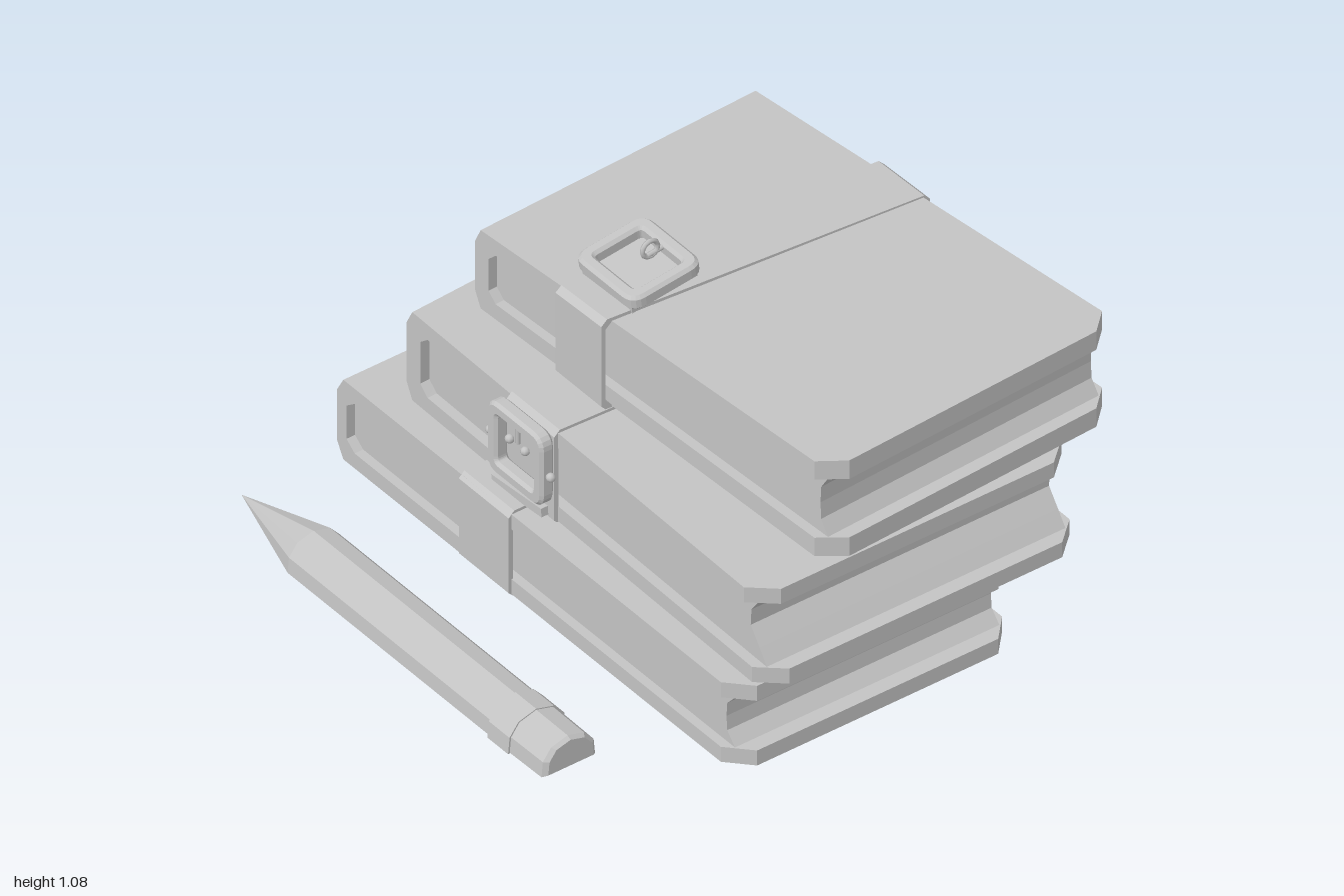
import * as THREE from 'three';

const grey = new THREE.MeshStandardMaterial({ color: 0xc4c4c4 });
grey.name = 'grey';

function shapeOf(points) {
  return new THREE.Shape(points.map(([a, b]) => new THREE.Vector2(a, b)));
}

function add(group, name, geometry) {
  const mesh = new THREE.Mesh(geometry, grey);
  mesh.name = name;
  group.add(mesh);
  return mesh;
}

function extrude(shape, depth, options = {}) {
  return new THREE.ExtrudeGeometry(shape, { depth, bevelEnabled: false, curveSegments: 5, ...options });
}

// Moves every vertex by a rule and refreshes the facet normals
function deform(geometry, rule) {
  const p = geometry.attributes.position;
  const v = new THREE.Vector3();
  for (let i = 0; i < p.count; i++) {
    rule(v.fromBufferAttribute(p, i));
    p.setXYZ(i, v.x, v.y, v.z);
  }
  geometry.computeVertexNormals();
  return geometry;
}

// Book: corners are [x, z] for back left, back right, front left, front right
function makeBook(name, { corners, y0, y1, lift = 0, cover = 0.055, spine = 0.05, foot = 0 }) {
  const group = new THREE.Group();
  group.name = name;
  const [bl, br, fl, fr] = corners;
  const mix = THREE.MathUtils.lerp;
  const place = (v) => {
    const u = v.x, s = v.z, h = (v.y - y0) / (y1 - y0);
    v.x = mix(mix(bl[0], br[0], u), mix(fl[0], fr[0], u), s);
    v.z = mix(mix(bl[1], br[1], u), mix(fl[1], fr[1], u), s);
    v.y += lift * u * h;
    if (u > 0.9 && h > 0.5) v.x -= foot;
  };
  const e = 0.028, a = y0 + cover, b = y1 - cover, m = (y0 + y1) / 2;

  // Case wraps the spine side, with clipped corners at the fore edge
  const caseShape = shapeOf([
    [1, y0], [1, a], [spine + 0.02, a], [spine, a + 0.03], [spine, b - 0.03], [spine + 0.02, b],
    [1, b], [1, y1], [e, y1], [0, y1 - 0.055], [0, y0 + 0.055], [e, y0],
  ].reverse());
  add(group, 'cover', deform(extrude(caseShape, 1, { steps: 14 }), (v) => {
    if (v.z < 0.01 || v.z > 0.99) {
      if (v.x > 0.99) v.x -= 0.04;
      if (v.x < 0.01) v.x += 0.012;
    }
    place(v);
  }));

  // Page block with a hollow fore edge
  const pageShape = shapeOf([
    [spine + 0.02, a], [0.974, a], [0.955, mix(a, m, 0.45)], [0.953, m], [0.955, mix(b, m, 0.45)],
    [0.974, b], [spine + 0.02, b], [spine, b - 0.03], [spine, a + 0.03],
  ]);
  add(group, 'pages', deform(extrude(pageShape, 1), (v) => {
    v.z = 0.03 + v.z * 0.94;
    place(v);
  }));
  return group;
}

// Band running round a book: a ring in z and y, extruded along x and skewed
function makeStrap(name, { x, width, z0, z1, y0, y1, slope = 0, tilt = 0, thick = 0.015 }) {
  const ring = (i) => {
    const c = 0.02;
    return [
      [-z1 + i, y0 + i + c], [-z1 + i + c, y0 + i], [-z0 - i - c, y0 + i], [-z0 - i, y0 + i + c],
      [-z0 - i, y1 - i - c], [-z0 - i - c, y1 - i], [-z1 + i + c, y1 - i], [-z1 + i, y1 - i - c],
    ];
  };
  const shape = shapeOf(ring(0));
  shape.holes.push(shapeOf(ring(thick)));
  const geometry = extrude(shape, width).rotateY(Math.PI / 2).translate(x - width / 2, 0, 0);
  const group = new THREE.Group();
  group.name = name;
  add(group, 'band', deform(geometry, (v) => {
    if (v.y > (y0 + y1) / 2) v.y += tilt * (v.x - x);
    v.x += slope * v.z;
  }));
  return group;
}

function roundedRect(target, w, h, r) {
  const x = w / 2, y = h / 2;
  target.moveTo(-x + r, -y);
  target.lineTo(x - r, -y).quadraticCurveTo(x, -y, x, -y + r);
  target.lineTo(x, y - r).quadraticCurveTo(x, y, x - r, y);
  target.lineTo(-x + r, y).quadraticCurveTo(-x, y, -x, y - r);
  target.lineTo(-x, -y + r).quadraticCurveTo(-x, -y, -x + r, -y);
  return target;
}

// Buckle faces local +z
function makeBuckle(name, w, h) {
  const group = new THREE.Group();
  group.name = name;
  const frame = roundedRect(new THREE.Shape(), w - 0.02, h - 0.02, 0.04);
  frame.holes.push(roundedRect(new THREE.Path(), w - 0.07, h - 0.07, 0.025));
  add(group, 'frame', extrude(frame, 0.03, {
    bevelEnabled: true, bevelSize: 0.01, bevelThickness: 0.01, bevelSegments: 1,
  }).translate(0, 0, 0.01));
  const prong = add(group, 'prong', new THREE.CylinderGeometry(0.008, 0.008, h * 0.28, 6));
  prong.position.set(0, h * 0.26, 0.035);
  return group;
}

// Pencil profile across its length, as [-z, y]
const pencilProfile = [
  [-0.93, 0.012], [-0.735, 0.012], [-0.74, 0.065], [-0.775, 0.105],
  [-0.835, 0.122], [-0.895, 0.105], [-0.925, 0.065],
];

function pencilPart(x0, x1, size0, size1, tipY = 0.06) {
  const geometry = extrude(shapeOf(pencilProfile), 1).rotateY(Math.PI / 2);
  return deform(geometry, (v) => {
    const size = v.x < 0.5 ? size0 : size1;
    const cy = v.x < 0.5 ? tipY : 0.06;
    v.set(v.x < 0.5 ? x0 : x1, cy + (v.y - 0.06) * size, 0.83 + (v.z - 0.83) * size);
  });
}

export function createModel() {
  const model = new THREE.Group();
  model.name = 'bookStack';

  // Books
  model.add(
    makeBook('bottomBook', {
      corners: [[-1, -0.55], [0.94, -0.55], [-1, 0.48], [0.94, 0.475]], y0: 0.018, y1: 0.31, spine: 0.036,
    }),
    makeBook('middleBook', {
      corners: [[-0.865, -0.765], [0.99, -0.755], [-0.795, 0.38], [0.99, 0.405]],
      y0: 0.312, y1: 0.635, foot: 0.04,
    }),
    makeBook('topBook', {
      corners: [[-0.715, -0.81], [0.9, -0.94], [-0.67, 0.225], [0.965, 0.16]],
      y0: 0.65, y1: 0.935, lift: 0.065,
    }),
  );

  // Straps
  model.add(
    makeStrap('bottomStrap', { x: -0.26, width: 0.24, z0: -0.555, z1: 0.488, y0: 0.006, y1: 0.32 }),
    makeStrap('middleStrap', { x: -0.13, width: 0.23, z0: -0.775, z1: 0.405, y0: 0.3, y1: 0.645, slope: -0.04 }),
    makeStrap('topStrap', {
      x: -0.12, width: 0.22, z0: -0.895, z1: 0.235, y0: 0.64, y1: 0.968, slope: -0.08, tilt: 0.04,
    }),
  );

  // Loose end of the middle strap below its buckle
  const flap = add(model, 'strapFlap', new THREE.BoxGeometry(0.24, 0.03, 0.05));
  flap.position.set(-0.18, 0.332, 0.405);
  flap.rotation.z = 0.08;

  // Front buckle with a row of studs
  const frontBuckle = makeBuckle('frontBuckle', 0.265, 0.26);
  frontBuckle.position.set(-0.16, 0.51, 0.405);
  for (const x of [-0.145, -0.075, 0, 0.075, 0.145]) {
    const stud = add(frontBuckle, 'stud', new THREE.SphereGeometry(0.015, 8, 6));
    stud.position.set(x, -0.01, Math.abs(x) > 0.1 ? 0.025 : 0.008);
  }
  model.add(frontBuckle);

  // Top buckle lying on its strap, with a pin loop and a strap tongue
  const topBuckle = makeBuckle('topBuckle', 0.29, 0.265);
  topBuckle.position.set(-0.135, 0.995, 0.015);
  topBuckle.rotation.x = -Math.PI / 2 + 0.12;
  const loop = add(topBuckle, 'pinLoop', new THREE.TorusGeometry(0.028, 0.008, 6, 12));
  loop.rotation.y = Math.PI / 2;
  loop.position.set(0, 0.045, 0.055);
  const tongue = add(topBuckle, 'strapTongue', new THREE.BoxGeometry(0.24, 0.24, 0.025));
  tongue.position.z = -0.005;
  model.add(topBuckle);

  // Pencil
  const pencil = new THREE.Group();
  pencil.name = 'pencil';
  add(pencil, 'tip', pencilPart(-0.97, -0.62, 0.01, 1, 0.035));
  add(pencil, 'body', pencilPart(-0.62, 0.36, 1, 1));
  add(pencil, 'ferrule', pencilPart(0.35, 0.45, 1.08, 1.08));
  add(pencil, 'eraser', pencilPart(0.45, 0.6, 1.02, 1.0));
  add(pencil, 'eraserEnd', pencilPart(0.6, 0.613, 1.0, 0.85));
  model.add(pencil);

  return model;
}
